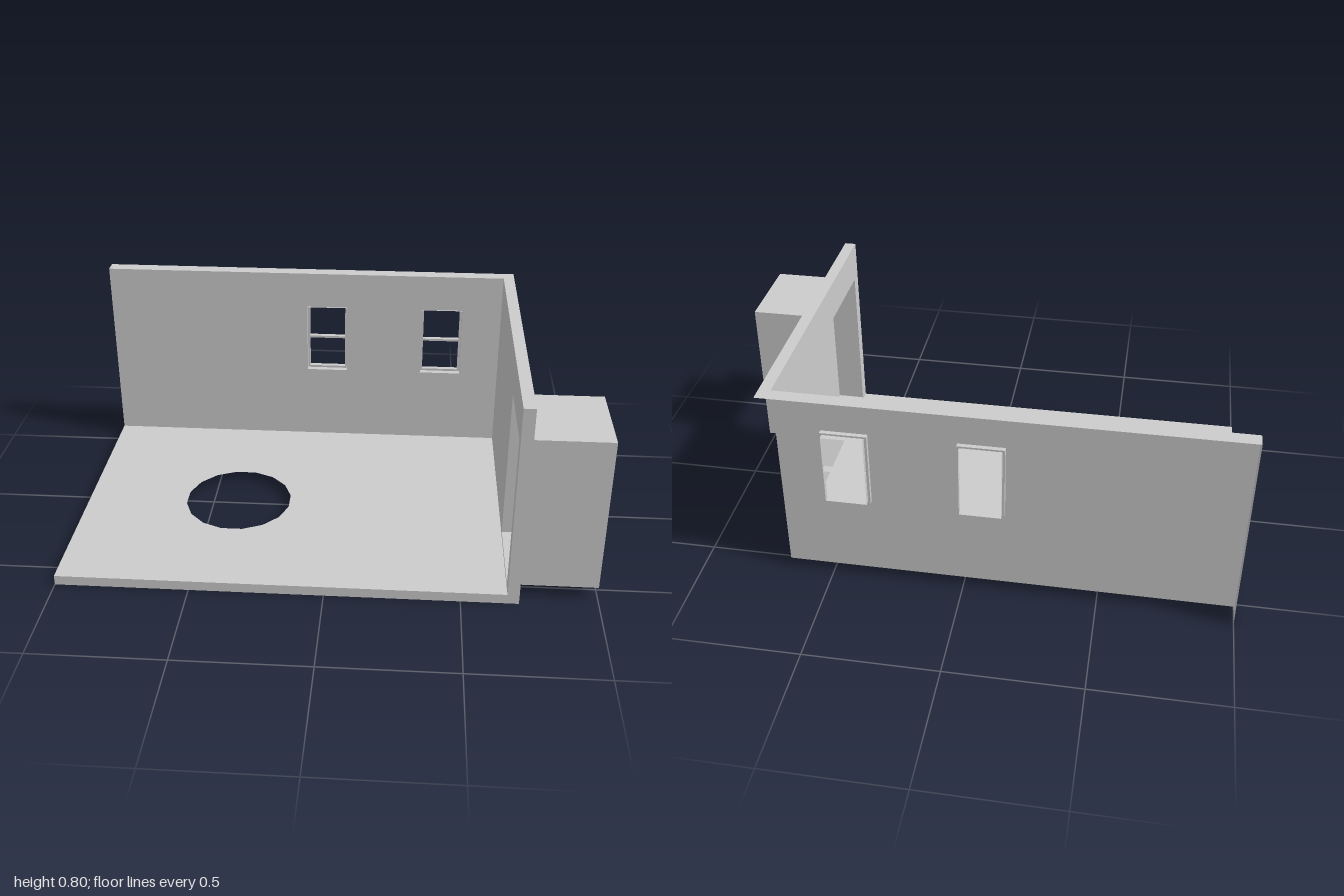
import * as THREE from 'three';

const material = new THREE.MeshStandardMaterial({ color: 0xcccccc, flatShading: true, side: THREE.DoubleSide });

// Inner sheet planes and outer rim limits of the room
const LEFT = -1, FRONT = 0.605, TOP = 0.8;
const IN = { x: 0.668, y: 0.038, z: -0.553 };
const OUT = { x: 0.712, y: 0, z: -0.607 };

const rect = (a0, b0, a1, b1) => [[a0, b0], [a1, b0], [a1, b1], [a0, b1]].map(p => new THREE.Vector2(...p));

// Flat sheet with holes; plane 'xy' (facing z), 'xz' (facing y) or 'zy' (facing x)
function sheet(name, plane, at, outline, holes = []) {
  const shape = new THREE.Shape(outline);
  shape.holes = holes.map(h => new THREE.Path(h));
  const g = new THREE.ShapeGeometry(shape);
  if (plane === 'xz') g.rotateX(Math.PI / 2).translate(0, at, 0);
  else if (plane === 'zy') g.rotateY(-Math.PI / 2).translate(at, 0, 0);
  else g.translate(0, 0, at);
  const mesh = new THREE.Mesh(g, material);
  mesh.name = name;
  return mesh;
}

// Rectangular sleeve with open ends, running along x or z
function sleeve(name, axis, [x0, y0, z0], [x1, y1, z1]) {
  let g = new THREE.CylinderGeometry(Math.SQRT1_2, Math.SQRT1_2, 1, 4, 1, true).rotateY(Math.PI / 4);
  if (axis === 'x') g.rotateZ(Math.PI / 2);
  else g.rotateX(Math.PI / 2);
  g.scale(x1 - x0, y1 - y0, z1 - z0);
  g.translate((x0 + x1) / 2, (y0 + y1) / 2, (z0 + z1) / 2);
  g = g.toNonIndexed();
  g.computeVertexNormals();
  const mesh = new THREE.Mesh(g, material);
  mesh.name = name;
  return mesh;
}

// Sash window: outer sleeve, a stepped frame and two deeper pane openings
const WIN = { w: 0.17, y0: 0.357, y1: 0.65 };
function sashWindow(x0) {
  const group = new THREE.Group();
  group.name = 'sashWindow';
  const x1 = x0 + WIN.w, inset = 0.009;
  const panes = [[0.366, 0.499], [0.508, 0.643]];
  group.add(sleeve('windowCasing', 'z', [x0, WIN.y0, -0.57], [x1, WIN.y1, -0.547]));
  group.add(sheet('windowFrame', 'xy', -0.57, rect(x0, WIN.y0, x1, WIN.y1),
    panes.map(([a, b]) => rect(x0 + inset, a, x1 - inset, b))));
  for (const [a, b] of panes)
    group.add(sleeve('sash', 'z', [x0 + inset, a, -0.59], [x1 - inset, b, -0.57]));
  return group;
}

export function createModel() {
  const model = new THREE.Group();
  model.name = 'room';

  // Floor with a round opening
  const circle = Array.from({ length: 16 }, (_, i) => {
    const t = (i + 0.5) / 16 * Math.PI * 2;
    return new THREE.Vector2(-0.39 + 0.212 * Math.cos(t), 0.032 + 0.219 * Math.sin(t));
  });
  model.add(sheet('floor', 'xz', IN.y, rect(LEFT, IN.z, IN.x, FRONT), [circle]));

  // Back wall with windows
  const windows = [-0.155, 0.334];
  model.add(sheet('backWall', 'xy', IN.z, rect(LEFT, IN.y, IN.x, TOP),
    windows.map(x => rect(x, WIN.y0, x + WIN.w, WIN.y1))));
  windows.forEach(x => model.add(sashWindow(x)));

  // Side wall with a doorway leading into an open-ended passage
  const door = { z0: 0.215, z1: 0.556, y0: 0.05, y1: 0.655 };
  model.add(sheet('sideWall', 'zy', IN.x, rect(IN.z, IN.y, FRONT, TOP),
    [rect(door.z0, door.y0, door.z1, door.y1)]));
  model.add(sleeve('passage', 'x', [IN.x, door.y0, door.z0], [1, door.y1, door.z1]));

  // L-shaped rims around the three open sides, reaching outward from the sheets
  const rim = (a0, b0, a1, b1, a2, b2) =>
    [[a0, b0], [a2, b0], [a2, b1], [a1, b1], [a1, b2], [a0, b2]].map(p => new THREE.Vector2(...p));
  model.add(sheet('frontRim', 'xy', FRONT, rim(OUT.x, OUT.y, IN.x, IN.y, LEFT, TOP)));
  model.add(sheet('endRim', 'zy', LEFT, rim(OUT.z, OUT.y, IN.z, IN.y, FRONT, TOP)));
  model.add(sheet('topRim', 'xz', TOP, rim(OUT.x, OUT.z, IN.x, IN.z, LEFT, FRONT)));

  return model;
}
